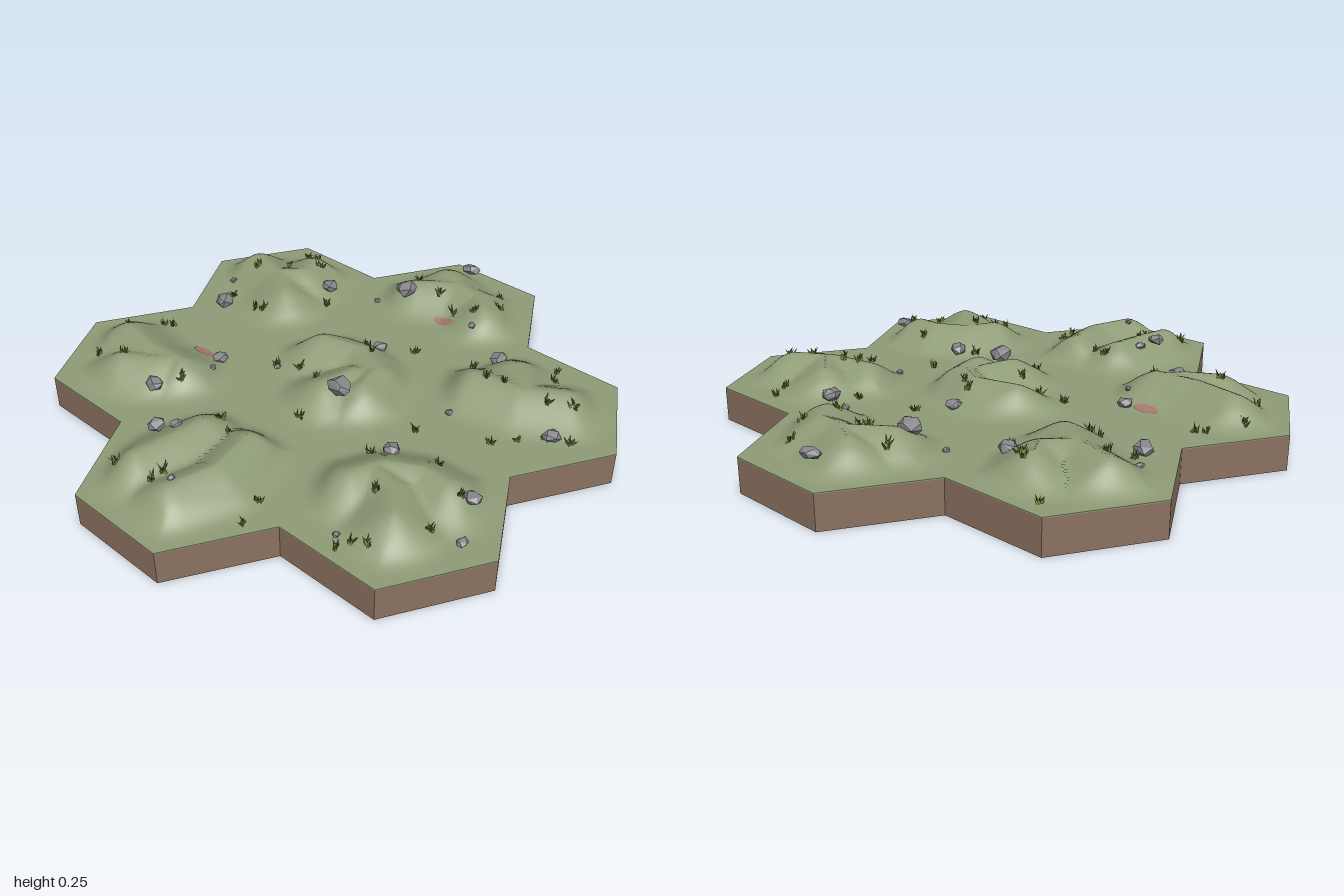
import * as THREE from 'three';
import { mergeGeometries, mergeVertices } from 'three/addons/utils/BufferGeometryUtils.js';
import { ConvexGeometry } from 'three/addons/geometries/ConvexGeometry.js';

const R = 2 / 3 / Math.sqrt(3); // tile corner radius
const GROUND = 0.125, HILL = 0.09;
const DEG = Math.PI / 180;
const polar = (r, deg) => [r * Math.cos(deg * DEG), r * Math.sin(deg * DEG)];

const mat = (name, color, side = THREE.FrontSide) => {
  const m = new THREE.MeshStandardMaterial({ color, side });
  m.name = name;
  return m;
};

let seed = 7;
const rnd = () => {
  seed = (seed * 16807) % 2147483647;
  return seed / 2147483647;
};

// Each tile: centre and crest lines of its dunes (x, z relative to the centre)
const TILES = [
  { c: [0, 0], ridges: [[[0.1, -0.15], [0.14, 0], [0.08, 0.13], [-0.03, 0.16]], [[-0.1, 0.05], [0.02, 0.08]]] },
  { c: [2 / 3, 0], ridges: [[[-0.02, -0.14], [0.07, -0.02], [0.07, 0.1], [0, 0.17]], [[0.07, 0.02], [0.13, -0.1]]] },
  { c: [-2 / 3, 0], ridges: [[[-0.13, -0.13], [0, -0.11], [0.13, -0.1]], [[-0.16, 0.07], [0, 0.11], [0.17, 0.07]]] },
  { c: [1 / 3, -R * 1.5], ridges: [[[0.04, -0.19], [0, -0.04], [-0.08, 0.08]], [[0, -0.04], [0.08, 0.04], [0.16, 0]]] },
  { c: [-1 / 3, -R * 1.5], ridges: [[[0, -0.16], [-0.03, 0], [-0.02, 0.16]], [[-0.14, -0.02], [-0.08, 0.08], [-0.02, 0.13]]] },
  { c: [1 / 3, R * 1.5], ridges: [[[-0.04, -0.17], [-0.01, 0], [0.07, 0.13]], [[0.02, 0], [0.1, -0.1]]] },
  { c: [-1 / 3, R * 1.5], ridges: [[[-0.07, -0.14], [0.04, -0.09], [0.1, 0.02], [0.1, 0.12]], [[-0.12, 0.08], [-0.03, 0], [0, -0.08]]] },
];

const smooth = t => {
  t = Math.min(1, Math.max(0, t));
  return t * t * (3 - 2 * t);
};

function segDist(x, z, [ax, az], [bx, bz]) {
  const dx = bx - ax, dz = bz - az;
  const t = Math.min(1, Math.max(0, ((x - ax) * dx + (z - az) * dz) / (dx * dx + dz * dz)));
  return Math.hypot(x - ax - t * dx, z - az - t * dz);
}

// Distance from the tile centre, 1 on its border
const hexDist = (x, z) => Math.max(...[0, 60, 120].map(a => {
  const [u, v] = polar(3, a);
  return Math.abs(x * u + z * v);
}));

function height(x, z) {
  let best = null, m = 9;
  for (const t of TILES) {
    const d = hexDist(x - t.c[0], z - t.c[1]);
    if (d < m) { m = d; best = t; }
  }
  const lx = x - best.c[0], lz = z - best.c[1];
  let h = 0;
  for (const line of best.ridges) {
    let d = 9;
    for (let i = 1; i < line.length; i++) d = Math.min(d, segDist(lx, lz, line[i - 1], line[i]));
    const t = Math.max(0, 1 - d / 0.19);
    h = Math.max(h, 0.65 * smooth(t) + 0.35 * t ** 1.5);
  }
  return GROUND + HILL * h * smooth((1 - m) / 0.4);
}

// Rolling surface: every tile is three rhombic grids
function terrainGeometry(n = 30) {
  const pos = [], index = [];
  for (const { c } of TILES) for (let k = 0; k < 3; k++) {
    const u = polar(R, 30 + 120 * k), v = polar(R, 150 + 120 * k);
    const start = pos.length / 3;
    for (let i = 0; i <= n; i++) for (let j = 0; j <= n; j++) {
      const x = c[0] + (u[0] * i + v[0] * j) / n, z = c[1] + (u[1] * i + v[1] * j) / n;
      pos.push(x, height(x, z), z);
      if (i < n && j < n) {
        const a = start + i * (n + 1) + j, b = a + n + 1;
        index.push(a, a + 1, b, b, a + 1, b + 1);
      }
    }
  }
  let g = new THREE.BufferGeometry();
  g.setAttribute('position', new THREE.Float32BufferAttribute(pos, 3));
  g.setIndex(index);
  g = mergeVertices(g, 1e-4);
  g.computeVertexNormals();
  return g;
}

// Slab with the outer outline of the seven tiles
function slab(y0, y1) {
  const pts = [];
  for (let a = 0; a < 360; a += 60) for (const o of [-90, -30, 30]) {
    const c = polar(2 / 3, a), p = polar(R, a + o);
    pts.push(new THREE.Vector2(c[0] + p[0], c[1] + p[1]));
  }
  return new THREE.ExtrudeGeometry(new THREE.Shape(pts), { depth: y1 - y0, bevelEnabled: false })
    .rotateX(-Math.PI / 2).translate(0, y0, 0);
}

// Rocks: x, z, radius, lift above the ground
const ROCKS = [
  [0.11, -0.7, 0.038, 0], [-0.48, -0.42, 0.034, 0], [-0.18, -0.41, 0.028, 0], [0.44, -0.43, 0.033, 0],
  [-0.66, -0.19, 0.031, 0.03], [-0.6, -0.16, 0.02, 0], [0.59, -0.15, 0.042, 0], [0.91, -0.07, 0.032, 0.03],
  [0.26, -0.01, 0.028, 0], [-0.1, 0.115, 0.043, 0.02], [0.49, 0.37, 0.035, 0], [-0.18, 0.42, 0.033, 0],
  [0.25, 0.76, 0.03, 0], [-0.22, 0.78, 0.03, 0.01], [-0.35, 0.84, 0.019, 0], [0.13, 0.42, 0.014, 0],
  [0.58, 0.18, 0.015, 0], [-0.26, -0.36, 0.013, 0], [0.53, -0.25, 0.013, 0], [0.235, -0.78, 0.014, 0],
  [-0.58, 0.54, 0.013, 0], [-0.8, 0.05, 0.013, 0], [-0.07, -0.22, 0.013, 0],
];

function rockGeometry(r) {
  const pts = [], sx = 0.85 + 0.3 * rnd();
  for (let i = 0; i < 14; i++) {
    const y = 1 - (2 * (i + 0.5)) / 14, a = i * 2.4 + rnd() * 0.8, s = Math.sqrt(1 - y * y);
    const k = r * (0.9 + 0.25 * rnd());
    pts.push(new THREE.Vector3(Math.cos(a) * s * k * sx, y * k * 0.7, Math.sin(a) * s * k / sx));
  }
  return new ConvexGeometry(pts).rotateY(rnd() * 6);
}

// Grass tufts: x, z pairs
const TUFTS = [
  -0.47, -0.76, -0.27, -0.83, -0.16, -0.75, -0.14, -0.72, -0.46, -0.61, -0.4, -0.37, 0.17, -0.71, 0.14, -0.56,
  0.15, -0.52, 0.32, -0.72, 0.61, -0.71, 0.52, -0.57, 0.49, -0.53, 0.37, -0.38, -0.84, -0.18, -0.82, -0.03,
  -0.77, -0.03, -0.47, -0.09, -0.49, -0.02, -0.06, -0.23, -0.03, -0.14, -0.07, -0.03, -0.24, 0.06, 0.35, 0.09,
  0.16, 0.03, 0.19, -0.01, 0.62, 0.06, 0.64, 0.14, 0.75, 0.19, 0.85, 0.12, 0.71, -0.18, 0.66, -0.04,
  -0.63, 0.26, -0.73, 0.3, -0.22, 0.37, -0.02, 0.39, 0.3, 0.45, 0.41, 0.32, -0.58, 0.6, -0.56, 0.65,
  -0.62, 0.57, -0.4, 0.75, -0.4, 0.54, -0.16, 0.6, 0.24, 0.75, 0.1, 0.62, 0.17, 0.68, 0.27, 0.82,
  0.34, 0.68, 0.38, 0.76, 0.53, 0.59, 0.59, 0.56, 0.32, 0.51, -0.24, 0.75,
];

function blade(x, z) {
  const h = 0.02 + 0.016 * rnd();
  const bx = x + (rnd() - 0.5) * 0.02, bz = z + (rnd() - 0.5) * 0.02;
  return new THREE.ConeGeometry(0.0055, h, 3).translate(0, h / 2, 0)
    .rotateZ(0.2 + 0.6 * rnd()).rotateY(rnd() * 6.28).translate(bx, height(bx, bz) - 0.002, bz);
}

// Patch of bare earth draped over the surface
function patchGeometry(x, z, rx, rz) {
  const g = new THREE.RingGeometry(0.001, 1, 14, 4).rotateX(-Math.PI / 2);
  const p = g.attributes.position;
  for (let i = 0; i < p.count; i++) {
    const px = x + p.getX(i) * rx, pz = z + p.getZ(i) * rz;
    p.setXYZ(i, px, height(px, pz) + 0.003, pz);
  }
  g.computeVertexNormals();
  return g;
}

export function createModel() {
  const group = new THREE.Group();
  const earth = mat('earth brown', 0x8b7260), grass = mat('grass green', 0x8f9c77);
  const stone = mat('stone grey', 0x85858a), clay = mat('clay red', 0xa4796a, THREE.DoubleSide);
  const lightLeaf = mat('yellow green', 0x99a03c), darkLeaf = mat('dark green', 0x566128);
  const add = (name, geometry, material) => {
    const m = new THREE.Mesh(geometry, material);
    m.name = name;
    group.add(m);
    return m;
  };

  add('earthBase', slab(0, 0.12), earth);
  add('turfEdge', slab(0.12, GROUND - 0.001), grass);
  add('hillSurface', terrainGeometry(), grass);

  for (const [x, z, r, lift] of ROCKS)
    add('rock', rockGeometry(r), stone).position.set(x, height(x, z) + r * 0.35 + lift, z);

  // Mixed light and dark blades in every tuft
  const light = [], dark = [];
  for (let i = 0; i < TUFTS.length; i += 2)
    for (let b = 0; b < 8; b++) (b % 2 ? light : dark).push(blade(TUFTS[i], TUFTS[i + 1]));
  add('lightGrassBlades', mergeGeometries(light), lightLeaf);
  add('darkGrassBlades', mergeGeometries(dark), darkLeaf);

  add('clayPatch', patchGeometry(-0.19, -0.49, 0.022, 0.05), clay);
  add('clayPatch', patchGeometry(0.575, 0.05, 0.02, 0.045), clay);
  return group;
}
